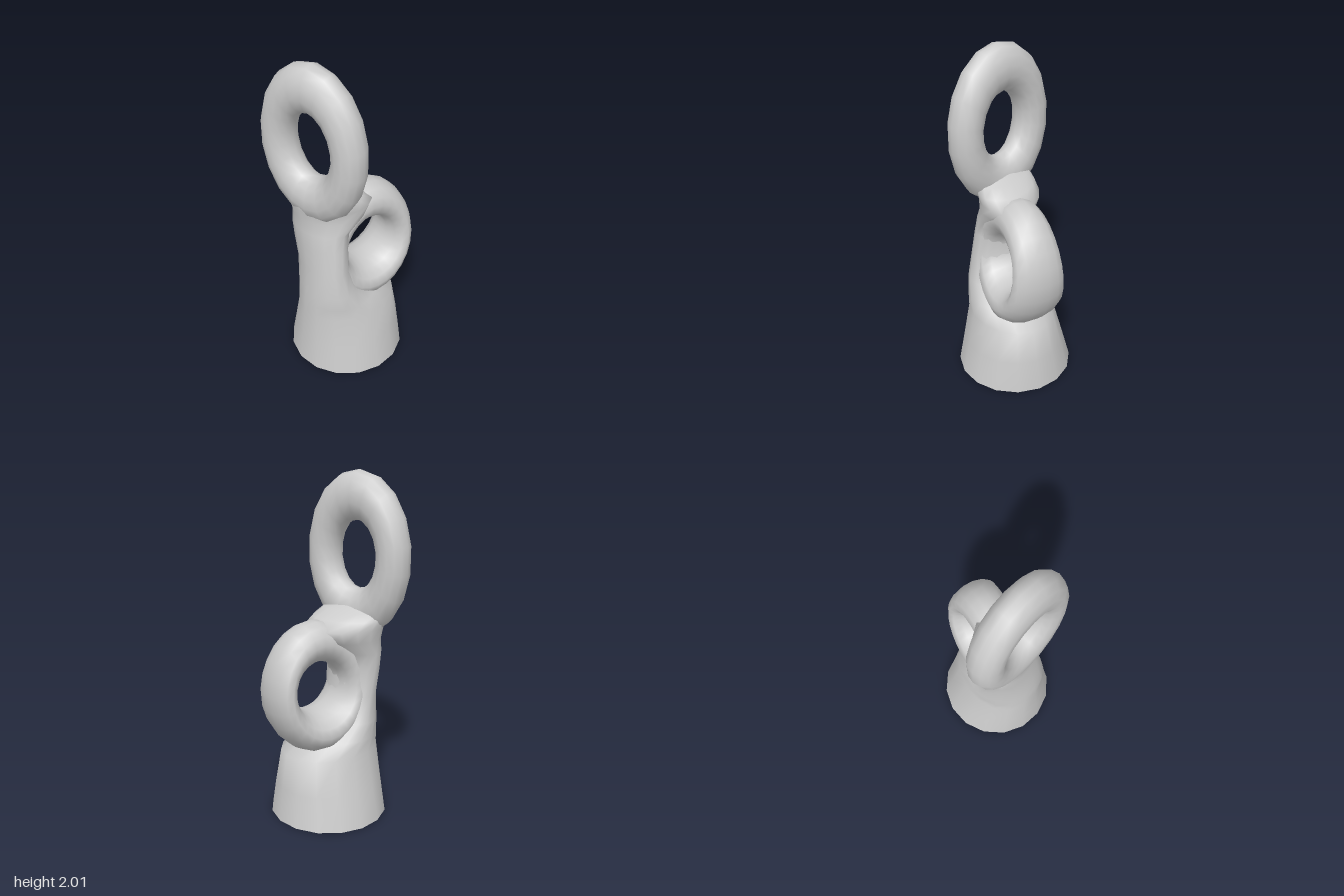
import * as THREE from 'three';

const material = new THREE.MeshStandardMaterial({ color: 0xcccccc });

// Skin a list of cross-section loops; optionally join the last loop to the first.
function loft(rows, closed) {
  const n = rows[0].length, m = rows.length, index = [];
  for (let i = 0; i < (closed ? m : m - 1); i++) {
    for (let j = 0; j < n; j++) {
      const k = (i + 1) % m, l = (j + 1) % n;
      const a = i * n + j, b = k * n + j, c = k * n + l, d = i * n + l;
      index.push(a, b, d, b, c, d);
    }
  }
  const g = new THREE.BufferGeometry();
  g.setAttribute('position', new THREE.Float32BufferAttribute(rows.flat(2), 3));
  g.setIndex(index);
  g.computeVertexNormals();
  return g;
}

function loop(n, point) {
  return Array.from({ length: n }, (_, i) => point((i / n) * Math.PI * 2));
}

function add(group, name, geometry) {
  const mesh = new THREE.Mesh(geometry, material);
  mesh.name = name;
  group.add(mesh);
  return mesh;
}

export function createModel() {
  const group = new THREE.Group();
  group.name = 'ringSculpture';

  // Tapering body: y, left x, right x, back z, front z, skew of z along x
  const sections = [
    [0, -0.345, 0.345, -0.33, 0.36, 0],
    [0.2, -0.29, 0.305, -0.305, 0.345, 0],
    [0.4, -0.235, 0.265, -0.27, 0.33, 0],
    [0.48, -0.215, 0.25, -0.13, 0.325, 0],
    [0.57, -0.195, 0.23, 0.0, 0.315, 0],
    [0.72, -0.168, 0.2, 0.07, 0.305, -0.05],
    [0.88, -0.177, 0.18, 0.08, 0.305, -0.15],
    [0.98, -0.187, 0.168, 0.06, 0.305, -0.2],
    [1.06, -0.195, 0.172, -0.06, 0.305, -0.25],
    [1.13, -0.205, 0.18, -0.1, 0.32, -0.28],
    [1.18, -0.2, 0.185, -0.02, 0.32, -0.28],
    [1.22, -0.18, 0.17, 0.06, 0.31, -0.28],
    [1.25, -0.1, 0.1, 0.14, 0.29, -0.28],
  ];
  const rows = sections.map(([y, x0, x1, z0, z1, skew]) => loop(16, (a) => {
    const x = ((x1 - x0) / 2) * Math.cos(a);
    return [(x0 + x1) / 2 + x, y, (z0 + z1) / 2 + ((z1 - z0) / 2) * Math.sin(a) + skew * x];
  }));
  add(group, 'body', loft(rows, false));

  // Flat underside
  const base = add(group, 'base', new THREE.CircleGeometry(0.345, 16));
  base.rotation.x = Math.PI / 2;
  base.position.z = 0.015;

  // Upright oval ring on top, turned a little to one side
  const topRing = add(group, 'topRing',
    new THREE.TorusGeometry(0.24, 0.1, 14, 18).rotateZ(Math.PI / 2).scale(1, 1.4, 1));
  topRing.position.set(0, 1.53, 0.222);
  topRing.rotation.y = 0.29;

  // Rear ring, broader towards the bottom
  const ringRows = loop(24, (t) => {
    const c = Math.cos(t), s = Math.sin(t);
    const width = 0.16 - 0.03 * s;
    return loop(14, (a) => {
      const k = (1 + Math.sin(a)) / 2; // 0 at the hole, 1 at the rim
      const ry = THREE.MathUtils.lerp(0.15, 0.39, k);
      const rz = THREE.MathUtils.lerp(0.16, 0.31, k);
      return [0.015 + width * Math.cos(a), 0.795 + ry * s, -0.08 + rz * c];
    });
  });
  add(group, 'rearRing', loft(ringRows, true));

  return group;
}
